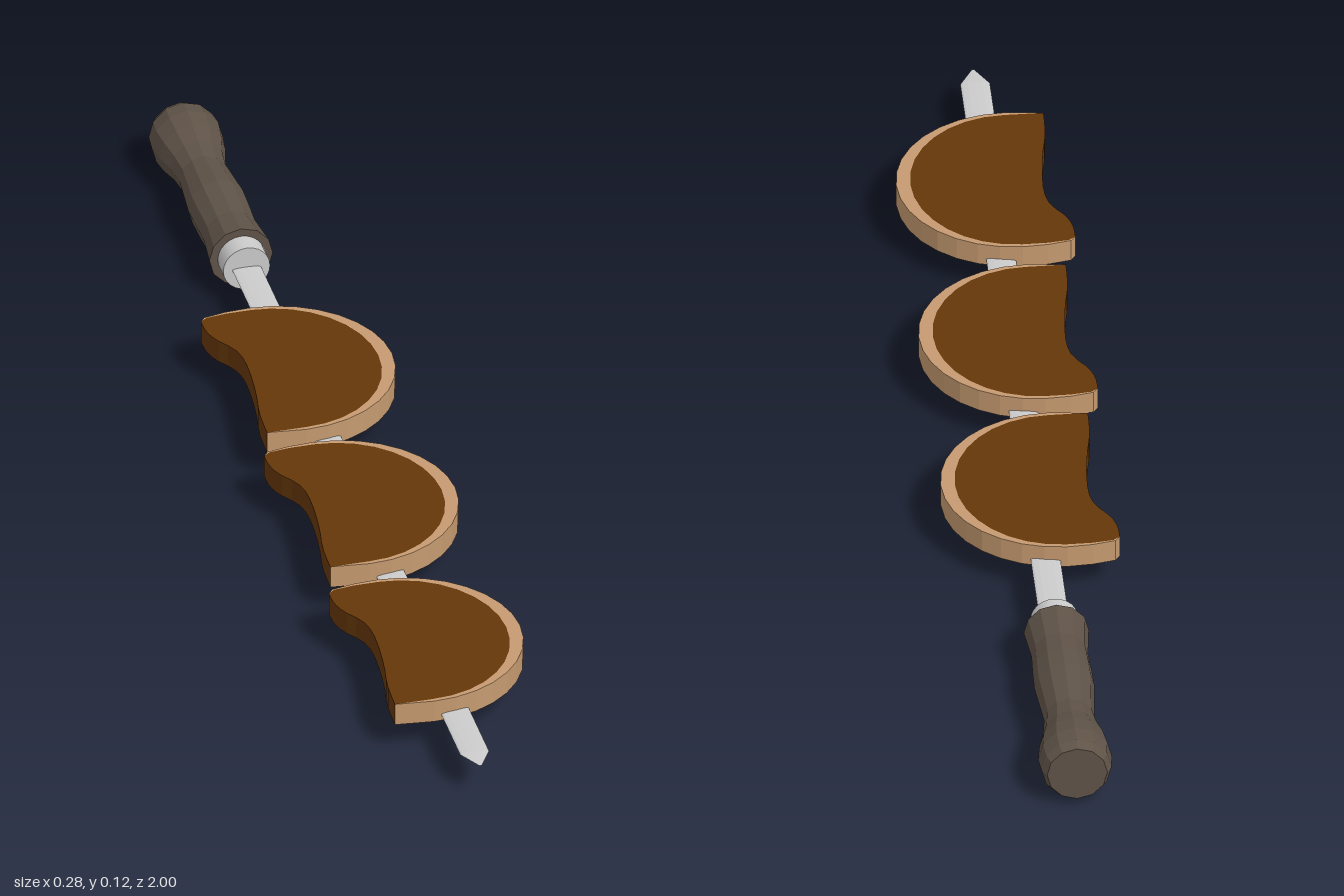
import * as THREE from 'three';

const AXIS_X = -0.018, AXIS_Y = 0.061;

function mat(color, flatShading = true) {
  return new THREE.MeshStandardMaterial({ color, flatShading });
}

function named(name, geometry, material) {
  const mesh = new THREE.Mesh(geometry, material);
  mesh.name = name;
  return mesh;
}

// flat slab from a plan outline (x, -z), rising from y = 0
function slab(points, height) {
  const geo = new THREE.ExtrudeGeometry(new THREE.Shape(points), { depth: height, bevelEnabled: false });
  return geo.rotateX(-Math.PI / 2);
}

const v = (x, y) => new THREE.Vector2(x, y);

// half ellipse running from top to bottom round the right side
function halfRound(rx, ry, steps = 16) {
  const pts = [];
  for (let i = 0; i <= steps; i++) {
    const a = Math.PI / 2 - (Math.PI * i) / steps;
    pts.push(v(-0.053 + rx * Math.cos(a), ry * Math.sin(a)));
  }
  return pts;
}

export function createModel() {
  const group = new THREE.Group();
  const brown = mat(0x653709), tan = mat(0xc69a70), wood = mat(0x5f5348), steel = mat(0xcccccc);

  // slices: brown flesh with a tan rind that thins out at both ends
  const lobe = v(-0.14, 0.168), corner = v(-0.118, -0.184);
  const outer = [lobe, v(-0.132, 0.179), v(-0.095, 0.187), ...halfRound(0.19, 0.19), corner];
  const inner = [lobe, v(-0.129, 0.177), v(-0.095, 0.182), ...halfRound(0.167, 0.183), corner];
  const cutSide = new THREE.SplineCurve([
    corner, v(-0.116, -0.125), v(-0.106, -0.06), v(-0.1, 0.02),
    v(-0.106, 0.07), v(-0.13, 0.11), v(-0.139, 0.14), lobe,
  ]).getPoints(16).slice(1, -1);
  const fleshGeo = slab([...inner, ...cutSide], 0.039);
  const rindGeo = slab([...outer, ...inner.slice(1, -1).reverse()], 0.039);
  [-0.21, 0.21, 0.64].forEach((z, i) => {
    const slice = new THREE.Group();
    slice.name = `slice${i + 1}`;
    slice.add(named('flesh', fleshGeo, brown), named('rind', rindGeo, tan));
    slice.position.set(0, 0.05, z);
    group.add(slice);
  });

  // thin blade with a lens section and a pointed tip
  const blade = new THREE.CylinderGeometry(1, 1, 1.59, 12, 2).rotateX(Math.PI / 2);
  const p = blade.attributes.position;
  for (let i = 0; i < p.count; i++) {
    const z = p.getZ(i);
    const tip = z > 0.5, shoulder = Math.abs(z) < 0.1;
    const s = tip ? 0.08 : 1;
    p.setXYZ(i, p.getX(i) * 0.024 * s, p.getY(i) * 0.003 * s, tip ? 0.995 : shoulder ? 0.955 : -0.6);
  }
  blade.computeVertexNormals();
  const skewer = named('skewer', blade, steel);
  skewer.position.set(AXIS_X, AXIS_Y, 0);

  // metal collar
  const collar = named('collar', new THREE.CylinderGeometry(0.039, 0.039, 0.06, 24).rotateX(Math.PI / 2), mat(0xcccccc, false));
  collar.position.set(AXIS_X, AXIS_Y, -0.59);

  // turned handle, profile as radius and z
  const profile = [
    [0, -1], [0.049, -1], [0.057, -0.985], [0.06, -0.955], [0.055, -0.92], [0.046, -0.885],
    [0.041, -0.845], [0.045, -0.8], [0.049, -0.755], [0.048, -0.71], [0.046, -0.665],
    [0.05, -0.625], [0.053, -0.597], [0, -0.597],
  ].map(([r, z]) => v(r, z));
  const handle = named('handle', new THREE.LatheGeometry(profile, 12).rotateX(Math.PI / 2), wood);
  handle.position.set(AXIS_X, AXIS_Y, 0);

  group.add(skewer, collar, handle);
  return group;
}
